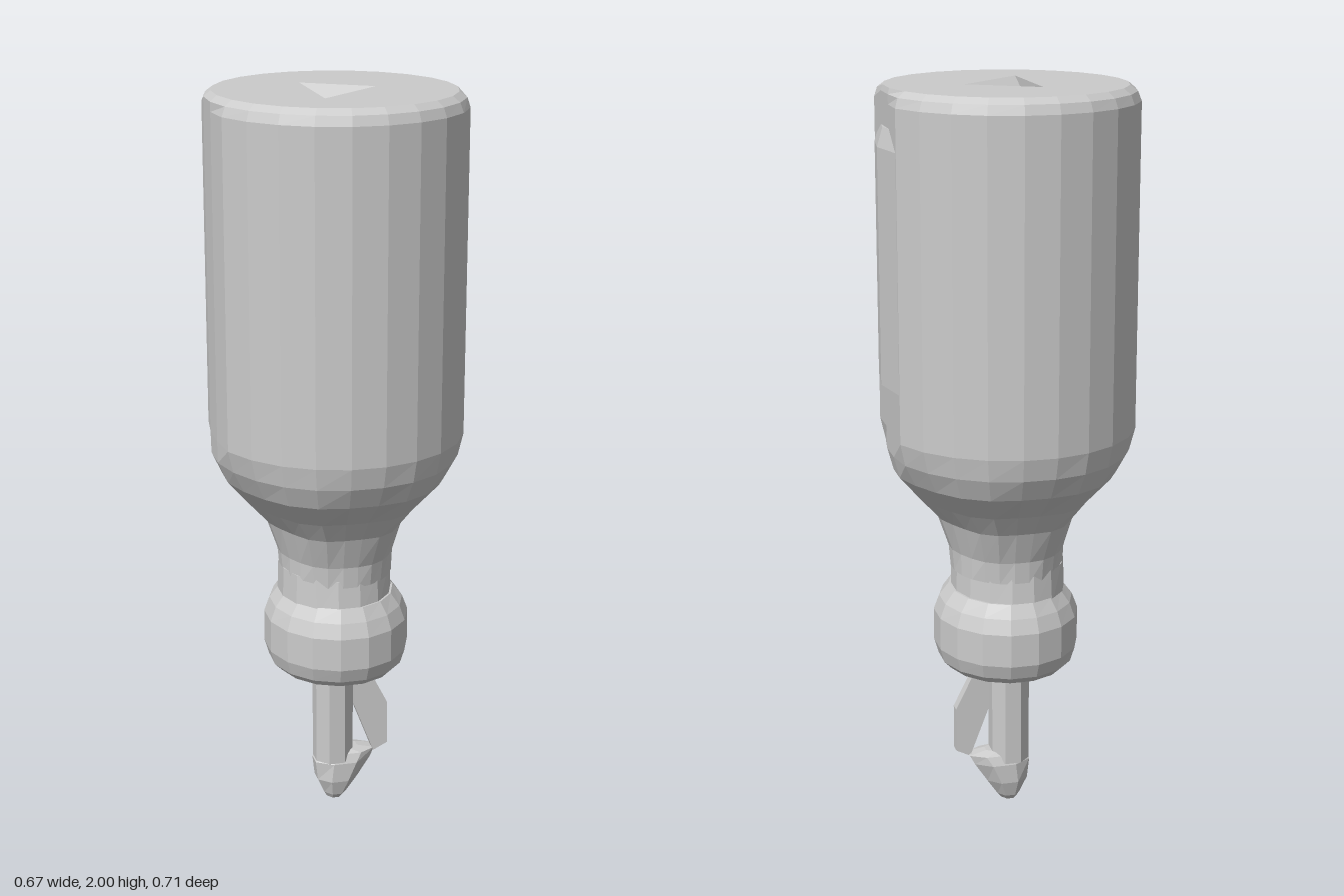
import * as THREE from 'three';

const material = new THREE.MeshStandardMaterial({ color: 0xcccccc, flatShading: true, side: THREE.DoubleSide });

// Skin a stack of rings (bottom to top), closing both ends unless openTop is set
function loft(rings, openTop = false) {
  const n = rings[0].length, pos = [], index = [];
  rings.forEach(ring => ring.forEach(p => pos.push(p.x, p.y, p.z)));
  for (let i = 0; i < rings.length - 1; i++) {
    for (let j = 0; j < n; j++) {
      const a = i * n + j, b = i * n + (j + 1) % n;
      index.push(a, b, b + n, a, b + n, a + n);
    }
  }
  const top = (rings.length - 1) * n;
  for (let j = 1; j < n - 1; j++) {
    index.push(0, j + 1, j);
    if (!openTop) index.push(top, top + j, top + j + 1);
  }
  const g = new THREE.BufferGeometry();
  g.setAttribute('position', new THREE.Float32BufferAttribute(pos, 3));
  g.setIndex(index);
  g.computeVertexNormals();
  return g;
}

// Elliptical ring; flute is the depth of six scallops
function ring(y, cx, rx, rz, n, flute = 0) {
  return Array.from({ length: n }, (_, j) => {
    const a = (j + 0.5) / n * Math.PI * 2;
    const f = 1 - flute * (0.5 + 0.5 * Math.cos(6 * a));
    return new THREE.Vector3(cx + rx * f * Math.sin(a), y, rz * f * Math.cos(a));
  });
}

export function createModel() {
  const group = new THREE.Group();
  const add = (name, geometry) => {
    const mesh = new THREE.Mesh(geometry, material);
    mesh.name = name;
    group.add(mesh);
    return mesh;
  };

  // Handle grip with slightly flattened sides and a scalloped shoulder
  const grip = [
    [0.70, 0.152, 0.17, 0], [0.76, 0.158, 0.178, 0.03], [0.85, 0.19, 0.215, 0.06],
    [0.91, 0.245, 0.255, 0.06], [0.98, 0.305, 0.318, 0.03], [1.04, 0.332, 0.345, 0.01],
    [1.10, 0.345, 0.356, 0], [1.96, 0.345, 0.356, 0], [1.985, 0.335, 0.347, 0], [2.0, 0.315, 0.328, 0]
  ].map(([y, rx, rz, f]) => ring(y, -0.005, rx, rz, 24, f));
  grip.flat().forEach(p => { p.x = THREE.MathUtils.clamp(p.x, -0.335, 0.312); });
  add('handleGrip', loft(grip, true));

  // Handle end with a sunken three-cornered pit
  const cap = new THREE.Shape(grip[grip.length - 1].map(p => new THREE.Vector2(p.x, -p.z)));
  const corners = [[-0.07, -0.12], [-0.07, 0.16], [0.105, -0.01]];
  cap.holes.push(new THREE.Path(corners.map(([x, z]) => new THREE.Vector2(x, -z))));
  add('handleEnd', new THREE.ShapeGeometry(cap).rotateX(-Math.PI / 2).translate(0, 2, 0));
  const pit = [];
  corners.forEach(([x, z], i) => {
    const [u, w] = corners[(i + 1) % 3];
    pit.push(x, 2, z, u, 2, w, -0.069, 1.93, -0.01);
  });
  const pitGeometry = new THREE.BufferGeometry();
  pitGeometry.setAttribute('position', new THREE.Float32BufferAttribute(pit, 3));
  pitGeometry.computeVertexNormals();
  add('handleEndPit', pitGeometry);

  // Raised ridge along the left side of the grip
  const ridge = y => [[0.335, -0.01], [0.312, -0.13], [0.27, -0.13], [0.27, 0.165], [0.292, 0.17], [0.318, 0.11]]
    .map(([x, z]) => new THREE.Vector3(x, y, z)).reverse();
  const ridgeTop = ridge(1.9);
  ridgeTop.forEach(p => { p.x -= 0.015; });
  add('sideRidge', loft([ridge(1.23), ridge(1.85), ridgeTop]));

  // Neck and collar
  add('neck', loft([ring(0.62, -0.008, 0.155, 0.18, 16), ring(0.72, -0.008, 0.152, 0.17, 16)]));
  add('collar', loft([
    [0.395, 0.05, 0.05], [0.42, 0.165, 0.18], [0.44, 0.185, 0.20], [0.48, 0.197, 0.215],
    [0.57, 0.197, 0.215], [0.61, 0.182, 0.2], [0.645, 0.155, 0.18]
  ].map(([y, rx, rz]) => ring(y, -0.003, rx, rz, 16))));

  // Shaft and blunt tip
  add('shaft', new THREE.CylinderGeometry(0.057, 0.057, 0.3, 8).rotateY(Math.PI / 8).translate(-0.012, 0.27, 0));
  add('tip', loft([
    [0, -0.01, 0.024, 0.03], [0.015, -0.008, 0.035, 0.042], [0.06, -0.003, 0.062, 0.056],
    [0.115, 0.012, 0.085, 0.056], [0.14, 0.03, 0.08, 0.045], [0.15, 0.01, 0.05, 0.03]
  ].map(([y, cx, rx, rz]) => ring(y, cx, rx, rz, 8))));

  // Thin bent fin beside the shaft
  const fin = new THREE.Shape([
    [0.045, 0.4], [0.08, 0.4], [0.14, 0.28], [0.14, 0.155], [0.10, 0.135], [0.045, 0.28]
  ].map(p => new THREE.Vector2(...p)));
  add('fin', new THREE.ExtrudeGeometry(fin, { depth: 0.03, bevelEnabled: false }).translate(0, 0, -0.005));

  return group;
}
